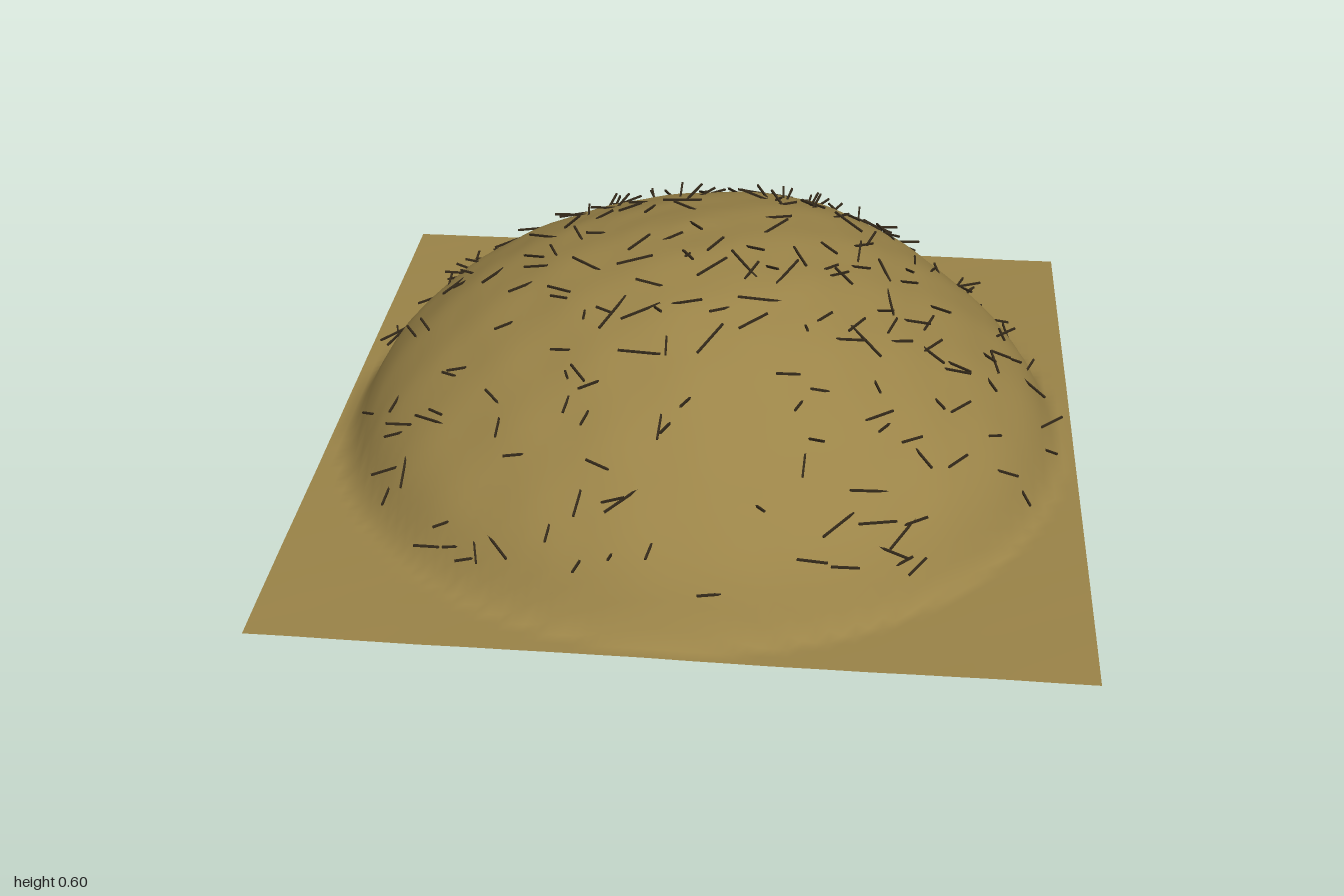
import * as THREE from 'three';
import { mergeGeometries } from 'three/addons/utils/BufferGeometryUtils.js';

// Radius and height pairs of the mound's profile
const PROFILE = [[0, 0.575], [0.1, 0.575], [0.2, 0.562], [0.3, 0.541], [0.4, 0.508], [0.5, 0.46], [0.6, 0.4],
  [0.7, 0.328], [0.8, 0.236], [0.86, 0.17], [0.9, 0.112], [0.94, 0.035], [0.96, 0.004], [1.5, 0.004]];

function profileHeight(r) {
  const i = Math.max(1, PROFILE.findIndex(p => p[0] >= r));
  const [r0, h0] = PROFILE[i - 1], [r1, h1] = PROFILE[i];
  return THREE.MathUtils.lerp(h0, h1, (r - r0) / (r1 - r0));
}

// Mound with broad lumps and fine ripples, fading out on the flat apron
function height(x, z) {
  const h = profileHeight(Math.hypot(x, z));
  const broad = 0.008 * Math.sin(7 * x + 2 * z + 0.6) + 0.007 * Math.sin(6 * z - 3 * x);
  const fine = 0.003 * Math.sin(23 * x + 9 * z) * Math.sin(19 * z - 7 * x + 1);
  return Math.max(0, h + (broad + fine) * Math.min(1, 0.12 + h * 4));
}

function seeded(seed) {
  return () => {
    seed = (seed * 1664525 + 1013904223) % 4294967296;
    return seed / 4294967296;
  };
}

export function createModel() {
  const group = new THREE.Group();
  group.name = 'strawMound';

  // Earth sheet: a square grid raised into a dome, open underneath
  const earth = new THREE.PlaneGeometry(2, 2, 64, 64).rotateX(-Math.PI / 2);
  const pos = earth.attributes.position;
  for (let i = 0; i < pos.count; i++) pos.setY(i, height(pos.getX(i), pos.getZ(i)));
  earth.computeVertexNormals();
  const mound = new THREE.Mesh(earth, new THREE.MeshStandardMaterial({ color: 0x9b8448, side: THREE.DoubleSide }));
  mound.name = 'mound';
  group.add(mound);

  // Twigs scattered over the dome, each nearly level and half sunk in the surface
  const random = seeded(17);
  const twigs = [];
  for (let i = 0; i < 260; i++) {
    const r = 0.93 * Math.sqrt(random()), a = random() * Math.PI * 2;
    const x = r * Math.cos(a), z = r * Math.sin(a);
    const length = 0.05 + 0.08 * random();
    const twig = new THREE.BoxGeometry(length, 0.005, 0.005);
    twig.rotateZ((random() - 0.5) * 0.8);
    twig.rotateY(random() * Math.PI * 2);
    twig.translate(x, Math.max(0.03, height(x, z) + 0.005), z);
    twigs.push(twig);
  }
  const twigMesh = new THREE.Mesh(mergeGeometries(twigs), new THREE.MeshStandardMaterial({ color: 0x33291a }));
  twigMesh.name = 'twigs';
  group.add(twigMesh);

  return group;
}
